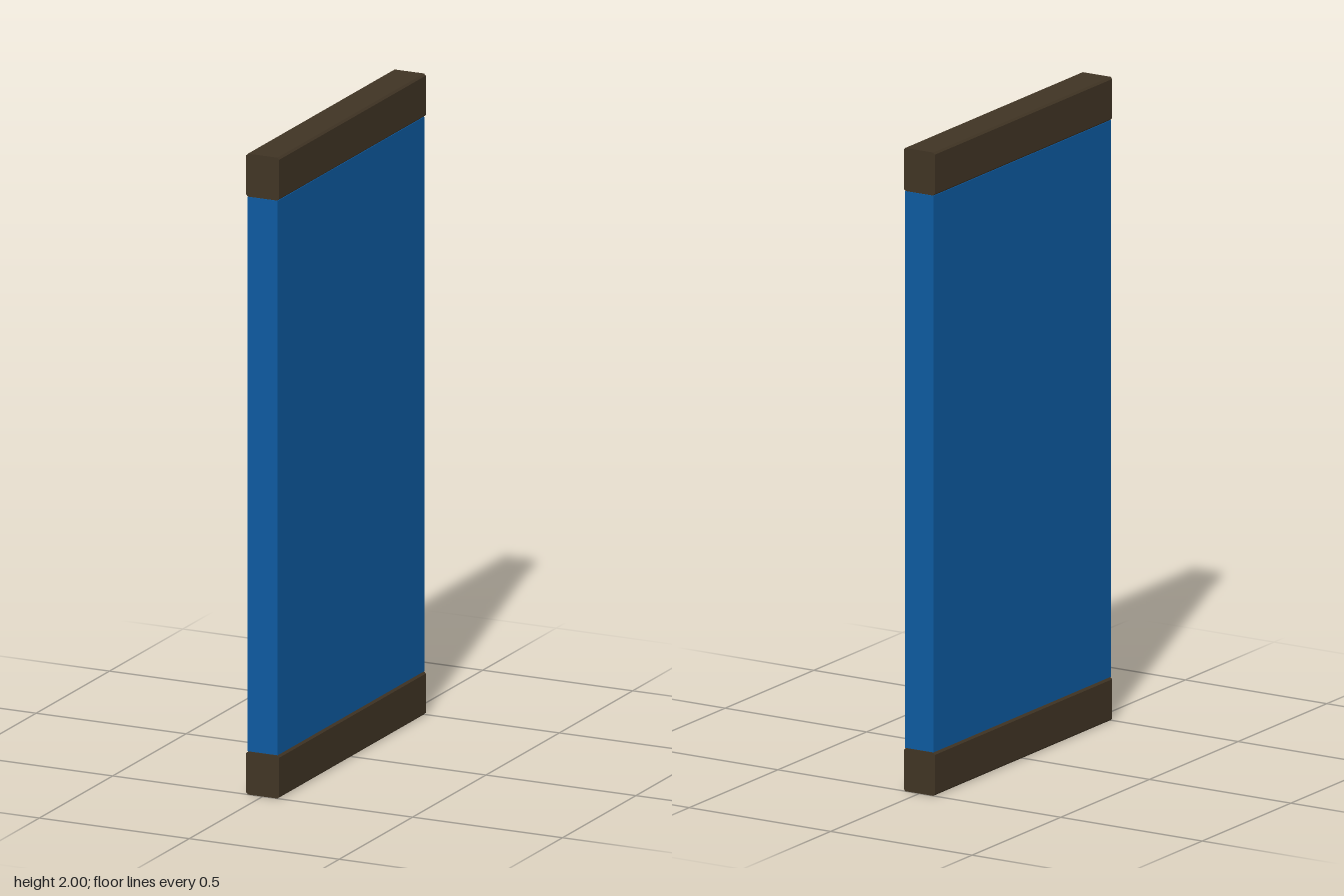
import * as THREE from 'three';

const DEPTH = 1, RAIL_H = 0.134, HALF_W = 0.055, BEVEL = 0.006;

// Rail with small chamfers on its long edges, running along z
function railGeometry() {
  const w = HALF_W, h = RAIL_H, b = BEVEL;
  const profile = new THREE.Shape([
    [-w + b, 0], [w - b, 0], [w, b], [w, h - b],
    [w - b, h], [-w + b, h], [-w, h - b], [-w, b],
  ].map(([x, y]) => new THREE.Vector2(x, y)));
  return new THREE.ExtrudeGeometry(profile, { depth: DEPTH, bevelEnabled: false })
    .translate(0, 0, -DEPTH / 2);
}

// Drop the triangles lying on y = 0, leaving a hollow rail open underneath
function openUnderside(geometry) {
  const source = geometry.toNonIndexed ? (geometry.index ? geometry.toNonIndexed() : geometry) : geometry;
  const p = source.attributes.position;
  const kept = [];
  for (let i = 0; i < p.count; i += 3) {
    const top = Math.max(p.getY(i), p.getY(i + 1), p.getY(i + 2));
    if (top < 1e-5) continue;
    for (let k = i; k < i + 3; k++) kept.push(p.getX(k), p.getY(k), p.getZ(k));
  }
  const result = new THREE.BufferGeometry();
  result.setAttribute('position', new THREE.Float32BufferAttribute(kept, 3));
  result.computeVertexNormals();
  return result;
}

export function createModel() {
  const model = new THREE.Group();
  const brown = new THREE.MeshStandardMaterial({ color: 0x403424, side: THREE.DoubleSide });
  const blue = new THREE.MeshStandardMaterial({ color: 0x0c5aa0 });

  const add = (name, geometry, material, y) => {
    const mesh = new THREE.Mesh(geometry, material);
    mesh.name = name;
    mesh.position.y = y;
    model.add(mesh);
  };

  // Panel held between the two rails
  const panelHeight = 2 - 2 * RAIL_H - 0.002;
  add('panel', new THREE.BoxGeometry(0.1, panelHeight, DEPTH), blue, 1);

  // Closed top rail, hollow bottom rail
  add('topRail', railGeometry(), brown, 2 - RAIL_H);
  add('bottomRail', openUnderside(railGeometry()), brown, 0);

  return model;
}
